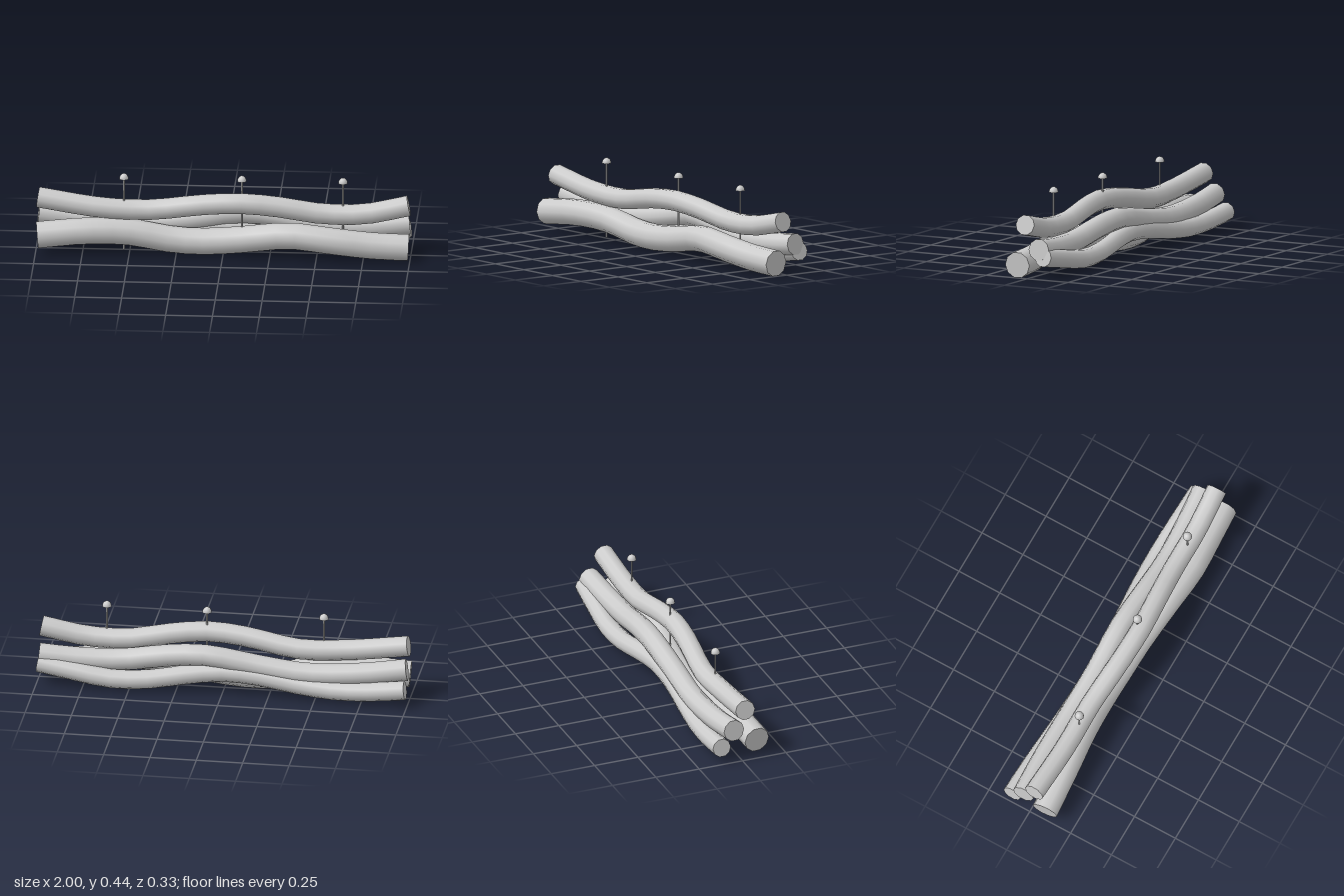
import * as THREE from 'three';

const wood = new THREE.MeshStandardMaterial({ color: 0xcccccc });
wood.name = 'plain grey';

const SIDES = 10;
const STEPS = 20;

// flat end closing one ring of a branch
function endCap(tube, step, outward) {
  const p = tube.getAttribute('position');
  const ring = [];
  for (let j = 0; j < SIDES; j++) {
    ring.push(new THREE.Vector3().fromBufferAttribute(p, step * (SIDES + 1) + j));
  }
  const centre = new THREE.Vector3();
  ring.forEach((v) => centre.addScaledVector(v, 1 / SIDES));
  const turn = ring[0].clone().sub(centre).cross(ring[1].clone().sub(centre));
  if (turn.dot(outward) < 0) ring.reverse();
  const points = [];
  ring.forEach((v, j) => points.push(centre, v, ring[(j + 1) % SIDES]));
  const geometry = new THREE.BufferGeometry().setFromPoints(points);
  geometry.computeVertexNormals();
  return new THREE.Mesh(geometry, wood);
}

// wavy round branch along x, closed at both ends
function branch(name, radius, path) {
  const group = new THREE.Group();
  group.name = name;
  const curve = new THREE.CatmullRomCurve3(path.map((p) => new THREE.Vector3(...p)));
  const tube = new THREE.TubeGeometry(curve, STEPS, radius, SIDES, false);
  const bark = new THREE.Mesh(tube, wood);
  bark.name = name + 'Bark';
  const left = endCap(tube, STEPS, curve.getTangent(1));
  left.name = name + 'LeftEnd';
  const right = endCap(tube, 0, curve.getTangent(0).negate());
  right.name = name + 'RightEnd';
  group.add(bark, left, right);
  return group;
}

// thin pin with a domed head
function pin(x) {
  const group = new THREE.Group();
  group.name = 'pin';
  const bottom = 0.02, neck = 0.42;
  const shaft = new THREE.Mesh(new THREE.CylinderGeometry(0.005, 0.005, neck - bottom, 8), wood);
  shaft.name = 'pinShaft';
  shaft.position.y = (neck + bottom) / 2;
  const dome = new THREE.Mesh(
    new THREE.SphereGeometry(0.025, 12, 5, 0, Math.PI * 2, 0, Math.PI / 2), wood);
  dome.name = 'pinHead';
  dome.scale.y = 1.2;
  dome.position.y = neck;
  const underside = new THREE.Mesh(new THREE.CircleGeometry(0.025, 12), wood);
  underside.name = 'pinHeadUnderside';
  underside.rotation.x = Math.PI / 2;
  underside.position.y = neck;
  group.add(shaft, dome, underside);
  group.position.set(x, 0, 0.037);
  return group;
}

export function createModel() {
  const model = new THREE.Group();
  model.name = 'branchBundle';

  model.add(
    branch('topBranch', 0.055, [
      [-0.99, 0.3, 0.02], [-0.65, 0.252, 0.03], [-0.4, 0.243, 0.025], [-0.1, 0.287, 0.05],
      [0.1, 0.3, 0.058], [0.3, 0.28, 0.045], [0.52, 0.243, 0.03], [0.75, 0.245, 0.03],
      [0.99, 0.293, 0.018],
    ]),
    branch('frontBranch', 0.071, [
      [-0.99, 0.11, 0.087], [-0.72, 0.132, 0.068], [-0.5, 0.122, 0.045], [-0.27, 0.08, 0.033],
      [-0.1, 0.074, 0.036], [0.1, 0.092, 0.045], [0.35, 0.128, 0.073], [0.58, 0.11, 0.091],
      [0.8, 0.083, 0.077], [0.99, 0.073, 0.065],
    ]),
    branch('middleBranch', 0.059, [
      [-0.99, 0.19, -0.045], [-0.75, 0.158, -0.06], [-0.45, 0.14, -0.062], [-0.2, 0.165, -0.055],
      [0.1, 0.21, -0.06], [0.3, 0.193, -0.05], [0.55, 0.15, -0.04], [0.8, 0.148, -0.05],
      [0.99, 0.165, -0.065],
    ]),
    branch('backBranch', 0.051, [
      [-0.99, 0.1, -0.115], [-0.8, 0.078, -0.112], [-0.6, 0.068, -0.1], [-0.4, 0.083, -0.084],
      [-0.2, 0.112, -0.072], [0, 0.124, -0.072], [0.2, 0.104, -0.09], [0.4, 0.073, -0.108],
      [0.6, 0.067, -0.114], [0.8, 0.095, -0.105], [0.99, 0.125, -0.092],
    ]),
  );

  [-0.53, 0.1, 0.64].forEach((x) => model.add(pin(x)));
  return model;
}
